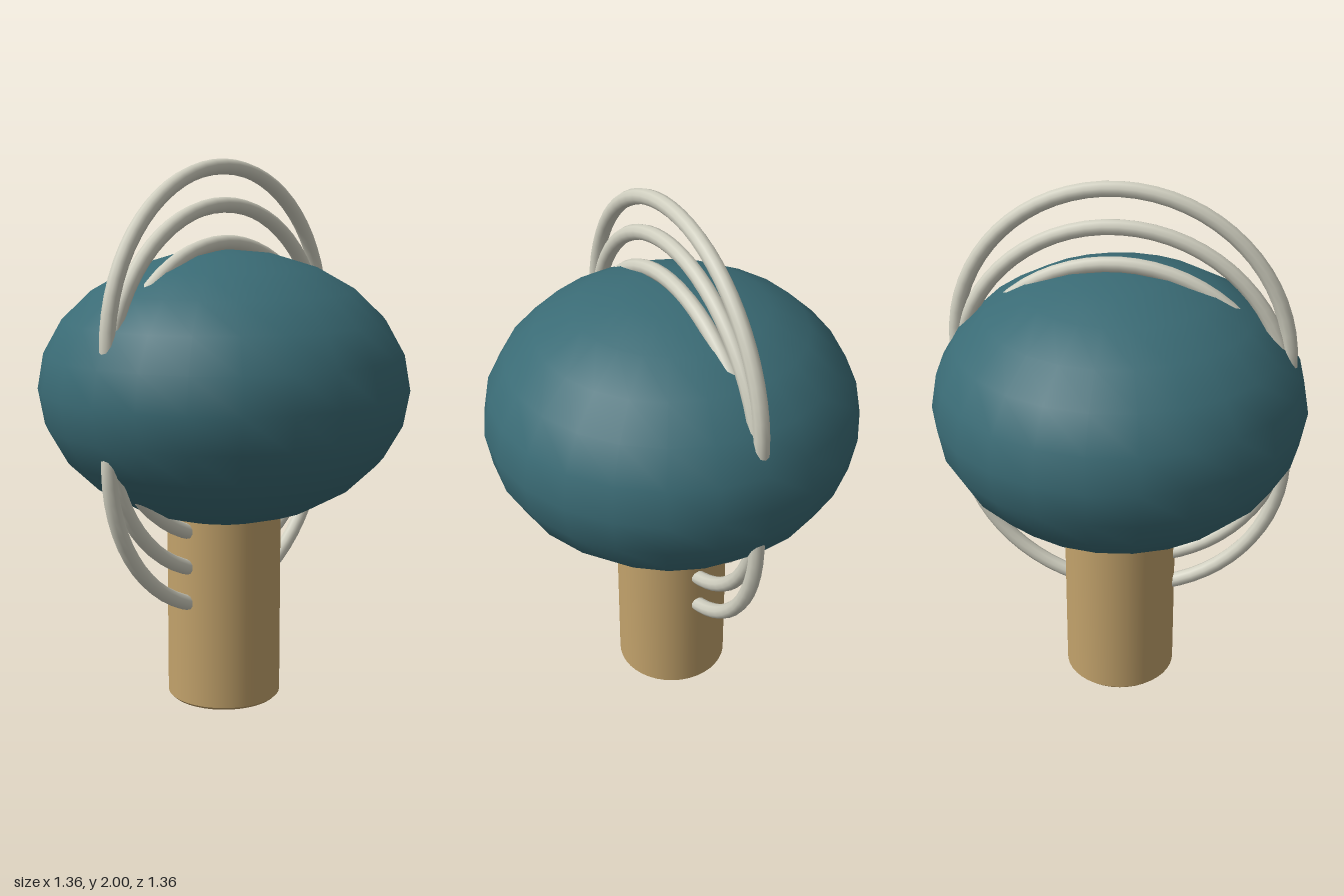
import * as THREE from 'three';

export function createModel() {
  const model = new THREE.Group();
  const teal = new THREE.MeshStandardMaterial({ name: 'teal', color: 0x3a6b75 });
  const wood = new THREE.MeshStandardMaterial({ name: 'tan wood', color: 0xc2a26b });
  const ivory = new THREE.MeshStandardMaterial({ name: 'ivory', color: 0xd0cfc0 });

  const add = (name, geometry, material, y) => {
    const mesh = new THREE.Mesh(geometry, material);
    mesh.name = name;
    mesh.position.y = y;
    model.add(mesh);
  };

  // Flattened ball resting on the post
  add('body', new THREE.SphereGeometry(0.68, 24, 12).scale(1, 0.5 / 0.68, 1), teal, 1.18);

  // Round post with a narrow chamfer; doubled points keep its edges crisp
  const r = 0.212, c = 0.01, h = 0.74;
  const profile = [
    [0, 0], [r - c, 0], [r - c, 0], [r, c], [r, c],
    [r, h], [r, h], [0, h],
  ].map(([x, y]) => new THREE.Vector2(x, y));
  add('post', new THREE.LatheGeometry(profile, 40), wood, 0);

  // Four equal upright hoops, stacked at an even pitch and threaded through the ball
  for (let i = 0; i < 4; i++) {
    add(`hoop${i + 1}`, new THREE.TorusGeometry(0.602, 0.028, 10, 64), ivory, 0.965 + i * 0.135);
  }

  return model;
}
